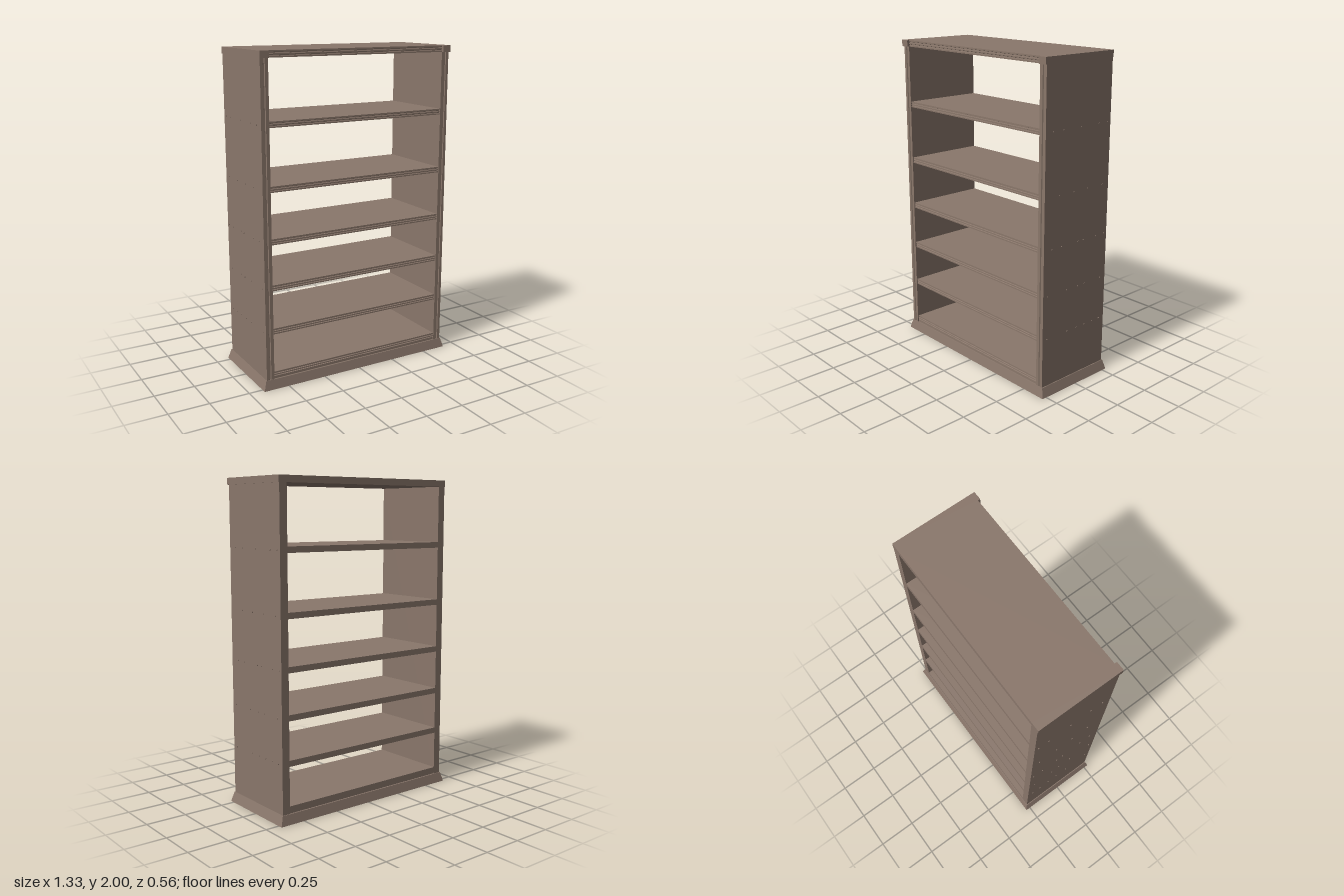
import * as THREE from 'three';

const wood = new THREE.MeshStandardMaterial({ color: 0x8a776b });
wood.name = 'brown wood';

const SHELF_TOPS = [0.105, 0.38, 0.65, 0.93, 1.24, 1.61];
const THICK = 0.036, INNER = 0.59, OUTER = 0.64, BACK = -0.262, FRONT = 0.265;

function add(parent, name, geometry, x = 0, y = 0, z = 0) {
  const mesh = new THREE.Mesh(geometry, wood);
  mesh.name = name;
  mesh.position.set(x, y, z);
  parent.add(mesh);
  return mesh;
}

// Board running along x, with two grooves along its front edge
function groovedBoard(h, front, length) {
  const d = 0.006;
  const pts = [[BACK, 0], [front, 0]];
  for (const c of [0.32, 0.68]) {
    pts.push([front, h * (c - 0.1)], [front - d, h * (c - 0.05)], [front - d, h * (c + 0.05)], [front, h * (c + 0.1)]);
  }
  pts.push([front, h], [BACK, h]);
  const shape = new THREE.Shape(pts.map(p => new THREE.Vector2(...p)));
  return new THREE.ExtrudeGeometry(shape, { depth: length, bevelEnabled: false })
    .translate(0, 0, -length / 2).rotateY(-Math.PI / 2);
}

// Upright side panel with one narrow flute down its front edge
function sidePanel(side, y0, y1) {
  const pts = [[INNER, -BACK], [INNER, -FRONT], [0.61, -FRONT], [0.613, -FRONT + 0.006],
    [0.619, -FRONT + 0.006], [0.622, -FRONT], [OUTER, -FRONT], [OUTER, -BACK]];
  const shape = new THREE.Shape(pts.map(([x, s]) => new THREE.Vector2(side * x, s)));
  return new THREE.ExtrudeGeometry(shape, { depth: y1 - y0, bevelEnabled: false })
    .rotateX(-Math.PI / 2).translate(0, y0, 0);
}

// Plinth that flares outward toward the floor
function plinth() {
  const g = new THREE.BoxGeometry(1, 0.06, 1).translate(0, 0.03, 0);
  const p = g.attributes.position;
  for (let i = 0; i < p.count; i++) {
    const low = p.getY(i) < 0.03;
    p.setX(i, Math.sign(p.getX(i)) * (low ? 0.663 : 0.645));
    p.setZ(i, Math.sign(p.getZ(i)) * (low ? 0.28 : 0.267));
  }
  g.computeVertexNormals();
  return g;
}

export function createModel() {
  const model = new THREE.Group();
  model.name = 'bookcase';

  add(model, 'plinth', plinth());
  add(model, 'floorFiller', new THREE.BoxGeometry(2 * INNER, 0.011, 0.515), 0, 0.0645, 0);

  // Shelves between the side panels
  for (const top of SHELF_TOPS) {
    add(model, 'shelf', groovedBoard(THICK, 0.26, 2 * INNER), 0, top - THICK, 0);
  }

  // Top board with slightly deeper end blocks
  add(model, 'topBoard', groovedBoard(0.04, 0.263, 2 * INNER), 0, 1.96, 0);

  const nailZ = [[-0.22, -0.16, -0.09, -0.02, 0.06, 0.23], [-0.22, -0.08, -0.02, 0.07, 0.23],
    [-0.24, -0.17, -0.06, -0.015, 0.125, 0.2], [-0.21, -0.085, 0.03, 0.145], [-0.235, -0.165, -0.015, 0.125, 0.205]];
  const nail = new THREE.CylinderGeometry(0.005, 0.005, 0.006, 8).rotateZ(Math.PI / 2);

  for (const side of [1, -1]) {
    add(model, side > 0 ? 'leftPanel' : 'rightPanel', sidePanel(side, 0.06, 1.96));
    add(model, 'topEndBlock', new THREE.BoxGeometry(0.055, 0.04, 0.54), side * 0.6175, 1.98, 0.008);
    // Nail heads where the shelves meet the panel
    nailZ.forEach((row, i) => row.forEach(z =>
      add(model, 'nailHead', nail, side * 0.641, SHELF_TOPS[i + 1] - THICK / 2, z)));
  }
  return model;
}
